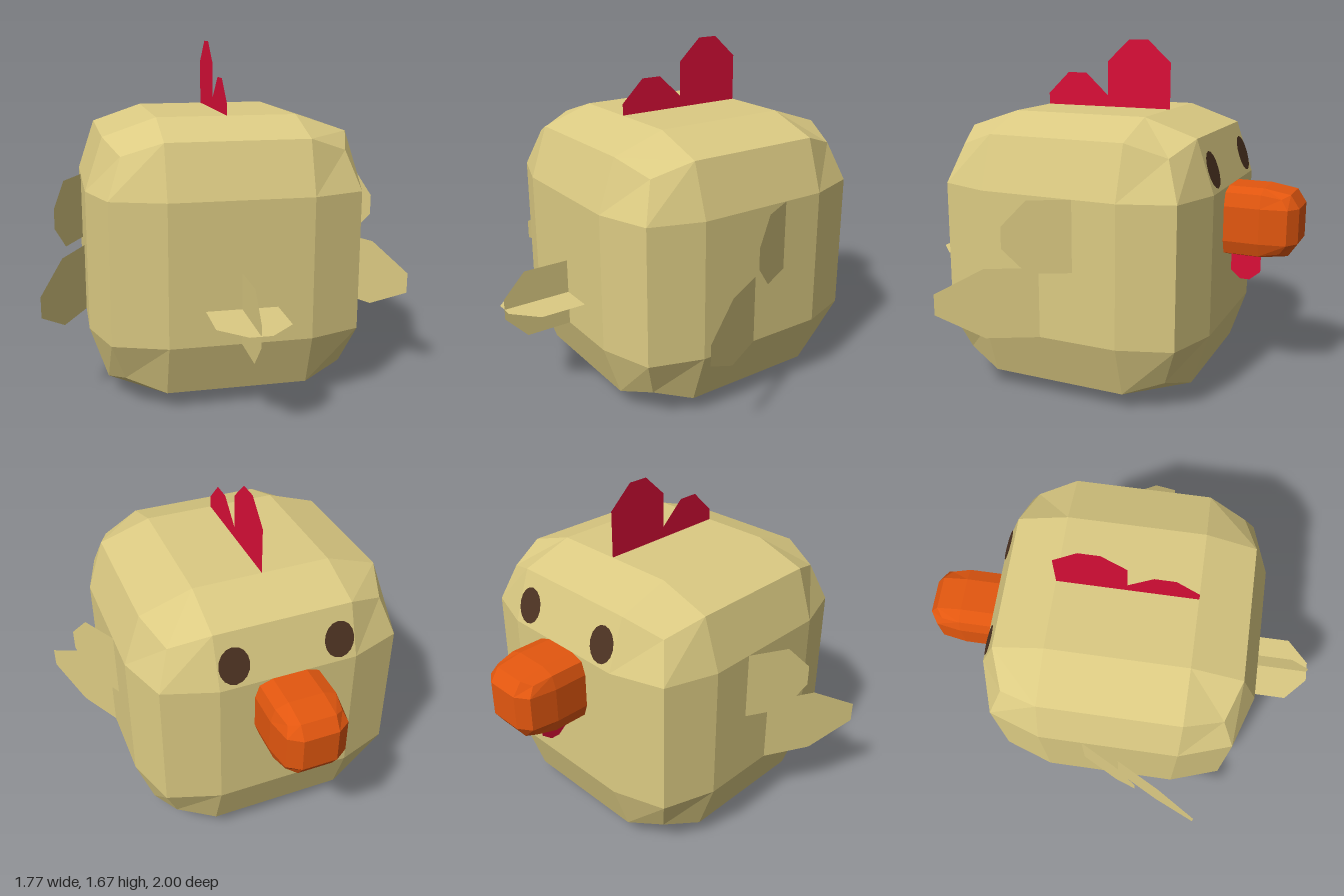
import * as THREE from 'three';

const feather = new THREE.MeshStandardMaterial({ color: 0xdccb83, flatShading: true, side: THREE.DoubleSide });
feather.name = 'feather yellow';
const red = new THREE.MeshStandardMaterial({ color: 0xdb0e38, flatShading: true, side: THREE.DoubleSide });
red.name = 'comb red';
const orange = new THREE.MeshStandardMaterial({ color: 0xe3570f, flatShading: true });
orange.name = 'beak orange';
const brown = new THREE.MeshStandardMaterial({ color: 0x4d3322 });
brown.name = 'eye brown';

// Cube of 3 x 3 panels per side, with edges and corners pulled in
function softCube() {
  const geo = new THREE.BoxGeometry(2, 2, 2, 3, 3, 3);
  const outer = [0, 0.667, 0.583, 0.518];
  const p = geo.attributes.position;
  for (let i = 0; i < p.count; i++) {
    const v = [p.getX(i), p.getY(i), p.getZ(i)];
    const n = v.filter((c) => Math.abs(c) > 0.9).length;
    const [x, y, z] = v.map((c) => Math.sign(c) * (Math.abs(c) > 0.9 ? outer[n] : 1 / 3));
    p.setXYZ(i, x, y, z);
  }
  geo.computeVertexNormals();
  return geo;
}

// Flat sheet drawn in (z, y), standing in the plane x = 0
function sheet(points) {
  const geo = new THREE.ShapeGeometry(new THREE.Shape(points.map(([z, y]) => new THREE.Vector2(z, y))));
  return geo.rotateY(-Math.PI / 2);
}

export function createModel() {
  const model = new THREE.Group();
  model.name = 'chick';
  const add = (name, geo, mat, parent = model) => {
    const mesh = new THREE.Mesh(geo, mat);
    mesh.name = name;
    parent.add(mesh);
    return mesh;
  };

  add('body', softCube(), feather).position.y = 0.667;

  // Beak: the same form, half sunk into the face
  const beak = add('beak', softCube(), orange);
  beak.scale.set(0.25, 0.25, 0.5);
  beak.position.set(0, 0.833, -0.667);

  add('comb', sheet([
    [0.333, 1.333], [0.333, 1.39], [0.22, 1.5], [0.12, 1.5], [0, 1.39],
    [0, 1.56], [-0.115, 1.667], [-0.215, 1.667], [-0.333, 1.56], [-0.333, 1.333],
  ]), red);
  add('wattle', sheet([
    [-0.66, 0.68], [-0.667, 0.56], [-0.715, 0.52], [-0.76, 0.52], [-0.813, 0.565], [-0.813, 0.68],
  ]), red);

  // Tail: two crossed feathers
  const tail = new THREE.Group();
  tail.name = 'tail';
  model.add(tail);
  const tailShape = [[0.66, -0.167], [0.89, -0.167], [1, -0.05], [1, 0.05], [0.89, 0.167], [0.66, 0.167]];
  ['tailUpright', 'tailFlat'].forEach((name, i) => {
    const f = add(name, sheet(tailShape), feather, tail);
    f.position.y = 0.5;
    f.rotation.z = i * Math.PI / 2;
  });

  // Wings: two feathers on each side, splayed outwards towards the tail
  const wing = (name, side, root, mid, tip, y) => {
    const geo = sheet([
      [root, -0.167], [mid, -0.167], [tip, -0.05], [tip, 0.05], [mid, 0.167], [root, 0.167],
    ]);
    const p = geo.attributes.position;
    for (let i = 0; i < p.count; i++) {
      p.setX(i, side * (0.667 + 0.52 * (p.getZ(i) - root)));
    }
    geo.computeVertexNormals();
    add(name, geo, feather).position.y = y;
  };

  for (const side of [1, -1]) {
    const label = side > 0 ? 'left' : 'right';
    wing(label + 'UpperWing', side, -0.125, 0.05, 0.15, 0.833);
    wing(label + 'LowerWing', side, 0.045, 0.265, 0.467, 0.5);

    // Eye: thin oval on the sloping brow
    const eye = add(label + 'Eye', new THREE.CircleGeometry(1, 16), brown);
    eye.scale.set(0.074, 0.088, 1);
    eye.rotation.set(Math.atan(1 / 3), Math.PI, 0);
    eye.position.set(side * 0.255, 1.102, -0.638);
  }
  return model;
}
